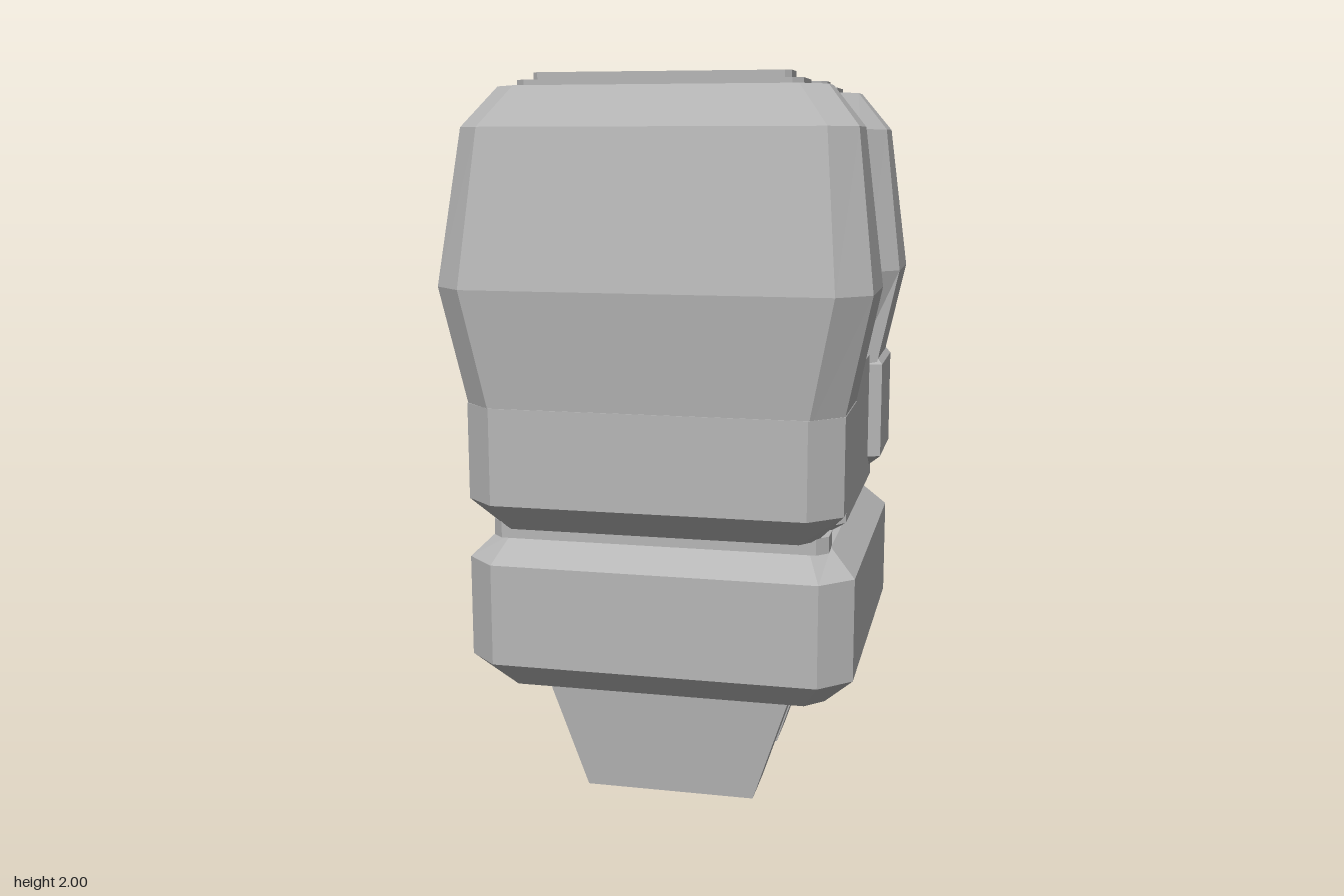
import * as THREE from 'three';

const grey = new THREE.MeshStandardMaterial({ color: 0xb6b6b6 });
grey.name = 'stone grey';

// Flat-faced stack of chamfered rectangles.
// Ring: [y, xSide, xFace, zBackFace, zBackSide, zFrontSide, zFrontFace]
function loft(name, rings) {
  const loops = rings.map(([y, xo, xi, b, bs, fs, f]) =>
    [[xi, f], [xo, fs], [xo, bs], [xi, b], [-xi, b], [-xo, bs], [-xo, fs], [-xi, f]]
      .map(([x, z]) => [x, y, z]));
  const pos = [];
  const tri = (a, b, c) => pos.push(...a, ...b, ...c);
  for (let r = 0; r < loops.length - 1; r++) {
    const lo = loops[r], hi = loops[r + 1];
    for (let i = 0; i < 8; i++) {
      const j = (i + 1) % 8;
      tri(lo[i], lo[j], hi[j]);
      tri(lo[i], hi[j], hi[i]);
    }
  }
  const bottom = loops[0], top = loops[loops.length - 1];
  for (let i = 1; i < 7; i++) {
    tri(top[0], top[i], top[i + 1]);
    tri(bottom[0], bottom[i + 1], bottom[i]);
  }
  const geo = new THREE.BufferGeometry();
  geo.setAttribute('position', new THREE.Float32BufferAttribute(pos, 3));
  geo.computeVertexNormals();
  const mesh = new THREE.Mesh(geo, grey);
  mesh.name = name;
  return mesh;
}

// Chamfered box with one chamfer size
const slab = (name, y0, y1, x, z0, z1, c) =>
  loft(name, [y0, y1].map(y => [y, x, x - c, z0, z0 + c, z1 - c, z1]));

// Swap front and back of a ring (the rear half sits slightly forward)
const toBack = ([y, xo, xi, b, bs, fs, f]) =>
  [y, xo, xi, 0.01 - f, 0.01 - fs, 0.01 - bs, 0.01 - b];

// Thin six-sided plate, lying in its local xy plane
function plate(name, w, wTop, y0, yMid, y1, depth) {
  const shape = new THREE.Shape([[-wTop, y0], [wTop, y0], [w, yMid], [wTop, y1], [-wTop, y1], [-w, yMid]]
    .map(p => new THREE.Vector2(...p)));
  const mesh = new THREE.Mesh(new THREE.ExtrudeGeometry(shape, { depth, bevelEnabled: false }), grey);
  mesh.name = name;
  return mesh;
}

export function createModel() {
  const model = new THREE.Group();
  model.name = 'blockFigure';

  // Tapered legs
  const leg = [
    [0, 0.24, 0.24, 0.135, 0.135, 0.305, 0.305],
    [0.36, 0.36, 0.36, 0.1, 0.1, 0.337, 0.337],
  ];
  model.add(loft('frontLeg', leg));
  model.add(loft('backLeg', leg.map(r => toBack(r).map((v, i) => i > 2 ? v + 0.005 : v))));

  // Lower block with bevelled rims
  model.add(loft('lowerBlock', [
    [0.34, 0.45, 0.4, -0.43, -0.38, 0.39, 0.44],
    [0.42, 0.53, 0.445, -0.505, -0.43, 0.44, 0.52],
    [0.7, 0.53, 0.445, -0.505, -0.43, 0.44, 0.52],
    [0.77, 0.46, 0.41, -0.44, -0.38, 0.39, 0.45],
  ]));

  // Neck pieces
  model.add(slab('neckCore', 0.76, 0.8, 0.42, -0.36, 0.36, 0.02));
  model.add(slab('frontNeck', 0.765, 0.81, 0.46, 0.34, 0.465, 0.03));
  model.add(slab('backNeck', 0.765, 0.81, 0.46, -0.455, -0.32, 0.03));

  // Central body
  model.add(loft('body', [
    [0.785, 0.44, 0.42, -0.31, -0.29, 0.29, 0.31],
    [0.82, 0.49, 0.47, -0.345, -0.32, 0.32, 0.345],
    [0.9, 0.49, 0.47, -0.32, -0.3, 0.3, 0.32],
    [1.2, 0.49, 0.47, -0.245, -0.22, 0.22, 0.245],
    [1.265, 0.43, 0.41, -0.2, -0.19, 0.19, 0.2],
  ]));

  // Collars that hold the upright lobes
  model.add(loft('frontCollar', [
    [0.8, 0.43, 0.39, 0.34, 0.35, 0.45, 0.5],
    [0.88, 0.505, 0.42, 0.25, 0.25, 0.5, 0.577],
    [1.14, 0.505, 0.42, 0.25, 0.25, 0.5, 0.577],
  ]));
  model.add(loft('backCollar', [
    [0.8, 0.43, 0.39, -0.51, -0.46, -0.34, -0.33],
    [0.89, 0.527, 0.435, -0.597, -0.52, -0.24, -0.21],
    [1.17, 0.527, 0.435, -0.597, -0.52, -0.24, -0.21],
    [1.19, 0.51, 0.425, -0.58, -0.51, -0.25, -0.22],
  ]));

  // Upright lobes, widest partway up
  const lobe = [
    [1.1, 0.495, 0.415, 0.21, 0.245, 0.494, 0.57],
    [1.45, 0.57, 0.485, 0.183, 0.27, 0.52, 0.603],
    [1.86, 0.52, 0.45, 0.222, 0.295, 0.457, 0.53],
    [1.965, 0.435, 0.37, 0.232, 0.295, 0.4, 0.466],
  ];
  // Two-step caps on each lobe
  const lowCap = [1.95, 1.98].map(y => [y, 0.375, 0.35, 0.258, 0.28, 0.418, 0.44]);
  const highCap = [1.97, 2].map(y => [y, 0.34, 0.325, 0.297, 0.312, 0.387, 0.402]);
  for (const [side, place] of [['front', r => r], ['back', toBack]]) {
    model.add(loft(side + 'Lobe', lobe.map(place)));
    model.add(loft(side + 'LowerCap', lowCap.map(place)));
    model.add(loft(side + 'UpperCap', highCap.map(place)));
  }

  // Thin panel on the back lobe
  const panel = plate('backPanel', 0.337, 0.297, -0.21, -0.05, 0, 0.009);
  panel.rotation.x = -0.085;
  panel.position.set(0, 1.45, -0.604);
  model.add(panel);

  // Thin panel on the right side of the lower block
  const sidePanel = plate('sidePanel', 0.245, 0.215, 0.55, 0.61, 0.65, 0.006);
  sidePanel.rotation.y = -Math.PI / 2;
  sidePanel.position.set(-0.527, 0, 0.01);
  model.add(sidePanel);

  return model;
}
